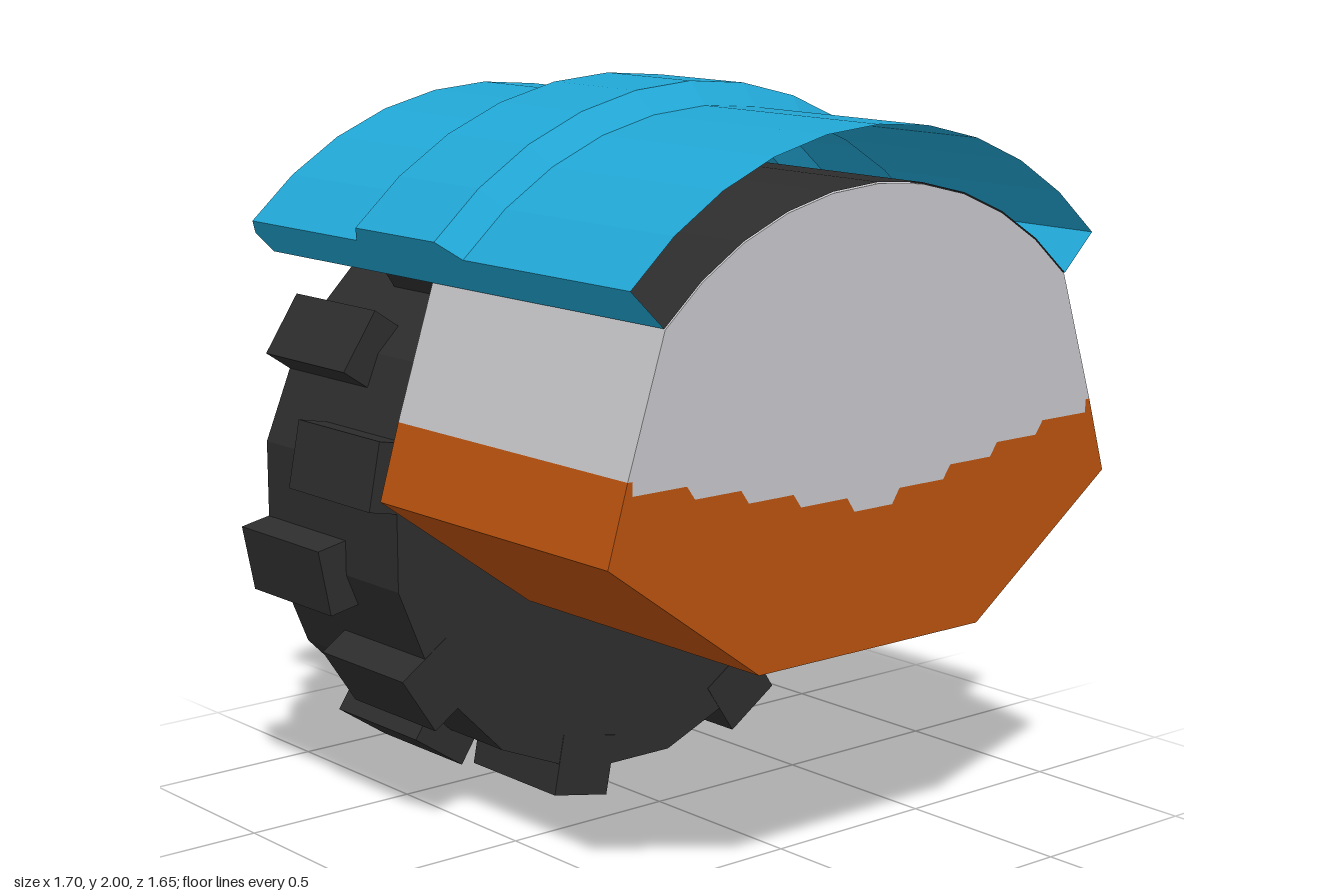
import * as THREE from 'three';

const AXIS_Y = 0.853;          // shared centre of wheel and fender arc
const ARC = 0.801;             // half angle of the fender
const BACK = -0.825, FRONT = 0.828;

const paint = (name, color, side = THREE.FrontSide) => {
  const m = new THREE.MeshStandardMaterial({ color, side });
  m.name = name;
  return m;
};

// Faceted normals
const faceted = (g) => {
  const f = g.index ? g.toNonIndexed() : g;
  f.computeVertexNormals();
  return f;
};

// Revolve [radius, z] points about the wheel axis; angle 0 points down
function revolve(points, segments, start = 0, length = Math.PI * 2) {
  const g = new THREE.LatheGeometry(points.map(([r, z]) => new THREE.Vector2(r, z)), segments, start, length);
  g.rotateX(Math.PI / 2);
  g.translate(0, AXIS_Y, 0);
  return faceted(g);
}
const arch = (points) => revolve(points, 10, Math.PI - ARC, ARC * 2);

export function createModel() {
  const model = new THREE.Group();
  const blue = paint('fenderBlue', 0x21a6d4, THREE.DoubleSide);
  const grey = paint('paleGrey', 0xc6c6ca, THREE.DoubleSide);
  const orange = paint('burntOrange', 0xba520e);
  const black = paint('rubberBlack', 0x2d2d2d, THREE.DoubleSide);

  const add = (name, geometry, material, parent = model) => {
    const mesh = new THREE.Mesh(geometry, material);
    mesh.name = name;
    parent.add(mesh);
    return mesh;
  };

  // Fender: outer shell with raised band, open at the front
  const fender = new THREE.Group();
  fender.name = 'fender';
  model.add(fender);
  const rIn = 0.947;
  const shell = [
    [1.027, BACK], [1.087, -0.77], [1.087, -0.275], [1.147, -0.215],
    [1.147, 0.125], [1.087, 0.185], [1.087, FRONT],
  ];
  add('fenderShell', arch(shell), blue, fender);
  add('fenderLining', arch([[rIn, FRONT], [rIn, BACK]]), black, fender);
  add('fenderBackRim', arch([[rIn, BACK], [1.027, BACK]]), grey, fender);

  // Flat strips closing both lower edges of the fender
  const edge = new THREE.Shape([[rIn, BACK], ...shell, [rIn, FRONT]].map(([r, z]) => new THREE.Vector2(z, r)));
  for (const s of [-1, 1]) {
    const sin = s * Math.sin(ARC), cos = Math.cos(ARC);
    const g = new THREE.ShapeGeometry(edge);
    g.applyMatrix4(new THREE.Matrix4().makeBasis(
      new THREE.Vector3(0, 0, 1),
      new THREE.Vector3(sin, cos, 0),
      new THREE.Vector3(-cos, sin, 0),
    ).setPosition(0, AXIS_Y, 0));
    // Right strip is turned so both face outward and down
    if (s < 0) g.index.array.reverse();
    add(s > 0 ? 'leftFenderEdge' : 'rightFenderEdge', faceted(g), blue, fender);
  }

  // Body: pale upper part and orange lower part meeting along a stepped line
  const half = [
    [0.79, 1.165], [0.775, 1.165], [0.775, 1.13], [0.61, 1.13], [0.585, 1.095], [0.44, 1.095],
    [0.415, 1.06], [0.27, 1.06], [0.245, 1.025], [0.09, 1.025], [0.065, 0.987],
  ];
  const steps = [...half, ...half.slice().reverse().map(([x, y]) => [-x, y])];
  const top = [];
  for (let i = 0; i <= 10; i++) {
    const a = -ARC + (ARC * 2 * i) / 10;
    top.push([0.943 * Math.sin(a), AXIS_Y + 0.943 * Math.cos(a)]);
  }
  const slab = (points) => {
    const g = new THREE.ExtrudeGeometry(
      new THREE.Shape(points.map(([x, y]) => new THREE.Vector2(x, y))),
      { depth: FRONT + 0.09, bevelEnabled: false },
    );
    g.translate(0, 0, -0.09);
    return faceted(g);
  };
  add('bodyUpper', slab([...steps, ...top]), grey);
  add('bodyLower', slab([...steps, [-0.85, 0.965], [-0.378, 0.625], [0.378, 0.625], [0.85, 0.965]]), orange);

  // Wheel: sixteen-sided tyre with a recessed hub on the back
  const wheel = new THREE.Group();
  wheel.name = 'wheel';
  model.add(wheel);
  const turn = Math.PI / 16;
  add('tyre', revolve([
    [0.37, -0.72], [0.37, -0.757], [0.778, -0.757], [0.778, -0.143], [0, -0.143],
  ], 16, turn), black, wheel);
  add('hubDisc', revolve([[0, -0.72], [0.37, -0.72]], 16, turn), grey, wheel);
  add('hubRing', revolve([
    [0.085, -0.735], [0.085, -0.75], [0.135, -0.75], [0.135, -0.72],
  ], 8, Math.PI / 8), black, wheel);
  add('hubCap', revolve([[0, -0.735], [0.085, -0.735]], 8, Math.PI / 8), orange, wheel);
  add('axle', revolve([[0.135, -0.143], [0.135, -0.09]], 8, Math.PI / 8), black, wheel);

  // Tread blocks, alternating between the back and front of the tyre
  const block = new THREE.BoxGeometry(0.185, 0.17, 0.375);
  for (let i = 0; i < 16; i++) {
    const a = turn * (2 * i + 1);
    const tread = add('treadBlock', block, black, wheel);
    tread.position.set(0.763 * Math.sin(a), AXIS_Y - 0.763 * Math.cos(a), i % 2 ? -0.329 : -0.571);
    tread.rotation.z = a;
  }

  return model;
}
